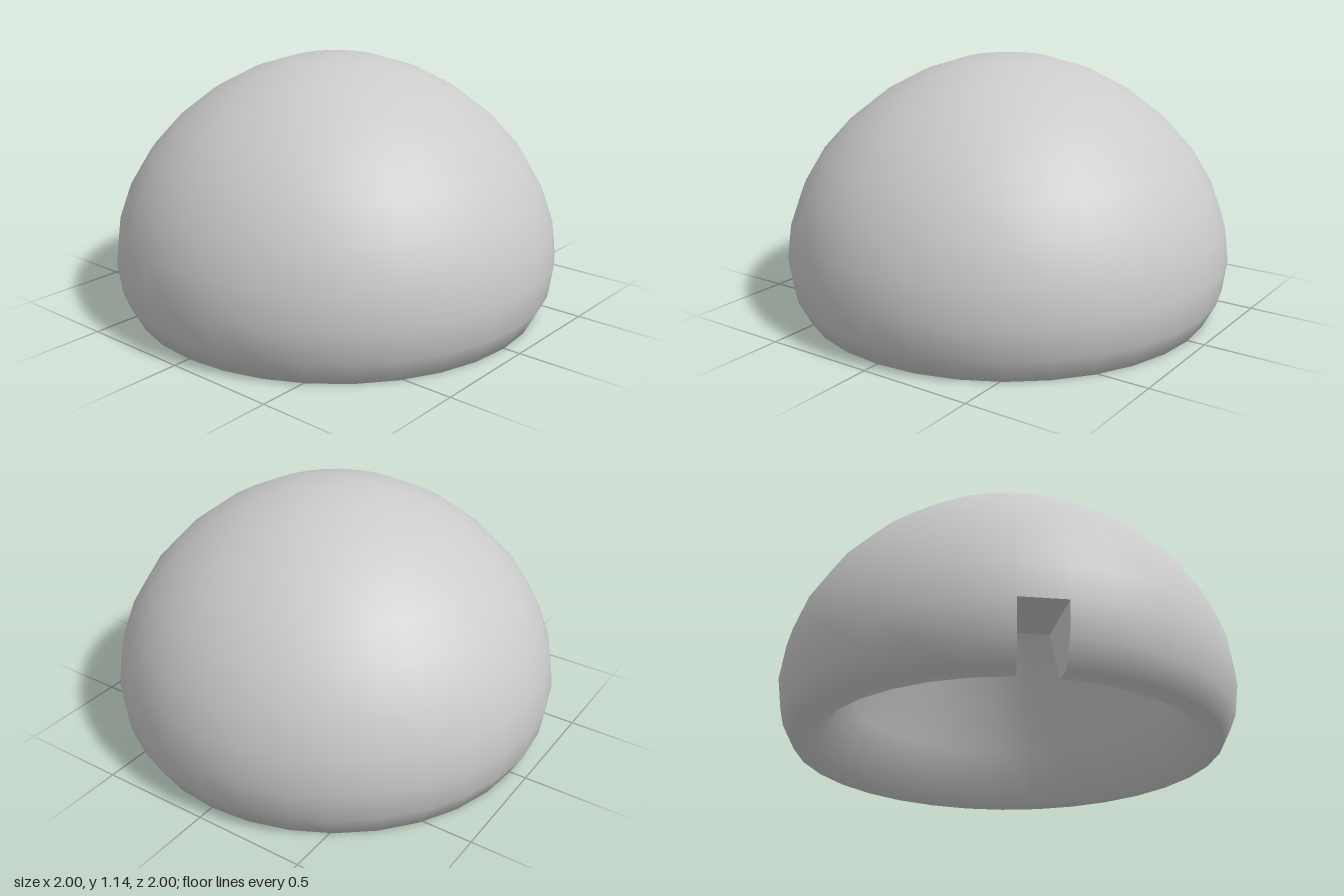
import * as THREE from 'three';

const SEGMENTS = 32;
const STEP = (Math.PI * 2) / SEGMENTS;
const START = -Math.PI / 4; // one edge of the notch; the other is one segment further round

const v = (r, y) => new THREE.Vector2(r, y);

export function createModel() {
  const group = new THREE.Group();
  const grey = new THREE.MeshStandardMaterial({ color: 0xcccccc });
  const thin = new THREE.MeshStandardMaterial({ color: 0xcccccc, side: THREE.DoubleSide });
  const add = (name, geometry, material) => {
    const mesh = new THREE.Mesh(geometry, material);
    mesh.name = name;
    group.add(mesh);
  };

  // Cross-section of the thick shell: hollow down, round the rim, dome up
  const hollow = [v(0, 1.01), v(0.195, 0.99), v(0.383, 0.92), v(0.556, 0.73)];
  const lower = [
    v(0.707, 0.237), v(0.831, 0.005), v(0.924, 0), v(0.98, 0.107), v(1, 0.247),
  ];
  const dome = [
    v(0.98, 0.402), v(0.924, 0.56), v(0.831, 0.714), v(0.707, 0.85),
    v(0.556, 0.968), v(0.383, 1.06), v(0.195, 1.12), v(0, 1.138),
  ];
  const profile = [...hollow, ...lower, ...dome];

  // Shell: a full turn, leaving out the lower faces of the last segment
  const shell = new THREE.LatheGeometry(profile, SEGMENTS, START, Math.PI * 2);
  const rows = profile.length;
  const first = hollow.length;
  const last = first + lower.length - 1;
  const index = shell.index.array;
  const kept = [];
  for (let f = 0; f < index.length; f += 3) {
    const face = [index[f], index[f + 1], index[f + 2]];
    const inNotch = face.every((i) => {
      const row = i % rows;
      return Math.floor(i / rows) >= SEGMENTS - 1 && row >= first && row <= last;
    });
    if (!inNotch) kept.push(...face);
  }
  shell.setIndex(kept);

  // Smooth both poles
  for (let i = 0; i <= SEGMENTS; i++) {
    shell.attributes.normal.setXYZ(i * rows, 0, -1, 0);
    shell.attributes.normal.setXYZ(i * rows + rows - 1, 0, 1, 0);
  }
  add('domeShell', shell, grey);

  // Side walls of the notch, cut straight through the shell
  [START, START - STEP].forEach((phi, i) => {
    const wall = new THREE.ShapeGeometry(new THREE.Shape(lower));
    wall.rotateY(phi - Math.PI / 2);
    add(i ? 'notchRightWall' : 'notchLeftWall', wall, thin);
  });

  // Ceiling of the notch
  const ceilingEdge = [lower[0], lower[lower.length - 1]];
  add('notchCeiling', new THREE.LatheGeometry(ceilingEdge, 1, START - STEP, STEP), thin);

  return group;
}
